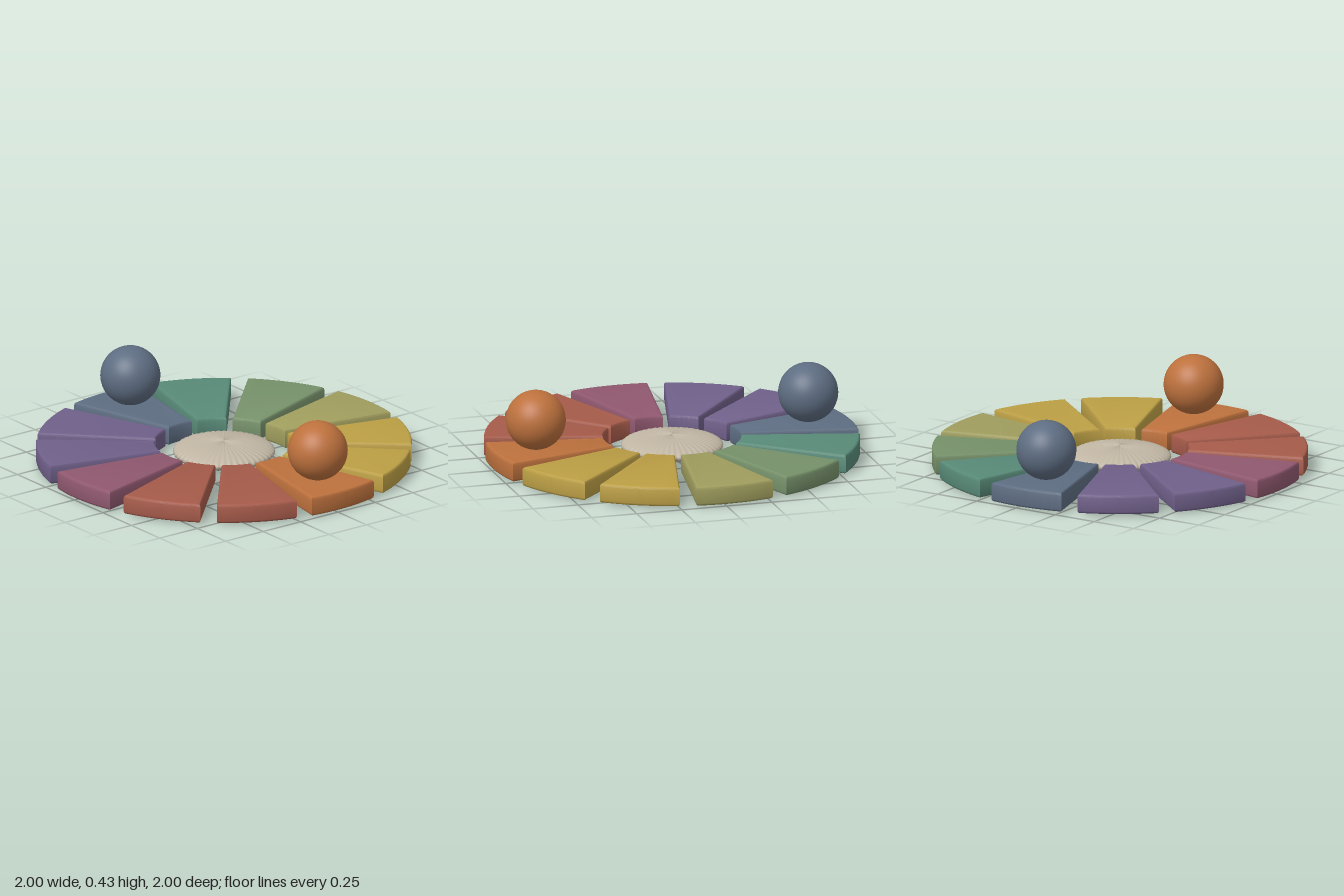
import * as THREE from 'three';
import { toCreasedNormals } from 'three/addons/utils/BufferGeometryUtils.js';

const COLORS = {
  orange: 0xbd713d, yellow: 0xbc9f45, olive: 0x9f9d5d, green: 0x76916a, teal: 0x588a78,
  slate: 0x5e6d82, purple: 0x70608a, plum: 0x90586f, red: 0xa65b4a, sand: 0xc0b5a3,
};
// Counter-clockwise seen from above, starting at +x
const ORDER = ['orange', 'yellow', 'yellow', 'olive', 'green', 'teal',
  'slate', 'purple', 'purple', 'plum', 'red', 'red'];
const START = THREE.MathUtils.degToRad(3);
const STEP = Math.PI / 6;
const BOTTOM = 0.008, TOP = 0.114;

// Ring segment with softly bevelled edges, centred on +x
function wedgeGeometry() {
  const bevel = 0.014, half = THREE.MathUtils.degToRad(12.5);
  const inner = 0.366 + bevel, outer = 1 - bevel;
  const aIn = half - Math.asin(bevel / inner);
  const aOut = half - Math.asin(bevel / outer);
  const shape = new THREE.Shape();
  shape.absarc(0, 0, outer, -aOut, aOut, false);
  shape.absarc(0, 0, inner, aIn, -aIn, true);
  const geo = new THREE.ExtrudeGeometry(shape, {
    depth: TOP - BOTTOM - 2 * bevel, bevelEnabled: true, bevelSize: bevel,
    bevelThickness: bevel, bevelSegments: 3, curveSegments: 10,
  });
  geo.rotateX(-Math.PI / 2);
  geo.translate(0, BOTTOM + bevel, 0);
  return toCreasedNormals(geo, 0.7);
}

// Flattened sphere whose rim is gathered into fine radial ribs
function hubGeometry() {
  const ribs = 48;
  const geo = new THREE.SphereGeometry(1, ribs * 4, 24);
  const p = geo.attributes.position;
  for (let i = 0; i < p.count; i++) {
    const x = p.getX(i), y = p.getY(i), z = p.getZ(i);
    const s = 0.268 + 0.005 * Math.cos(ribs * Math.atan2(z, x));
    p.setXYZ(i, x * s, y * 0.058 * s / 0.268, z * s);
  }
  geo.computeVertexNormals();
  return geo;
}

export function createModel() {
  const model = new THREE.Group();
  model.name = 'colorWheel';
  const mats = {};
  for (const [name, color] of Object.entries(COLORS)) {
    mats[name] = new THREE.MeshStandardMaterial({ color });
    mats[name].name = name;
  }
  const add = (geo, mat, name) => {
    const mesh = new THREE.Mesh(geo, mats[mat]);
    mesh.name = name;
    model.add(mesh);
    return mesh;
  };

  // Twelve wedges around the ring
  const wedge = wedgeGeometry();
  ORDER.forEach((color, i) => {
    add(wedge, color, `wedge${i + 1}`).rotation.y = START + i * STEP;
  });

  // Ribbed hub in the middle
  add(hubGeometry(), 'sand', 'hub').position.y = 0.059;

  // Two balls resting on opposite wedges
  const ball = new THREE.SphereGeometry(0.16, 40, 28);
  [['orange', START], ['slate', START + Math.PI]].forEach(([color, a]) => {
    add(ball, color, `${color}Ball`).position.set(0.77 * Math.cos(a), TOP + 0.16, -0.77 * Math.sin(a));
  });
  return model;
}
